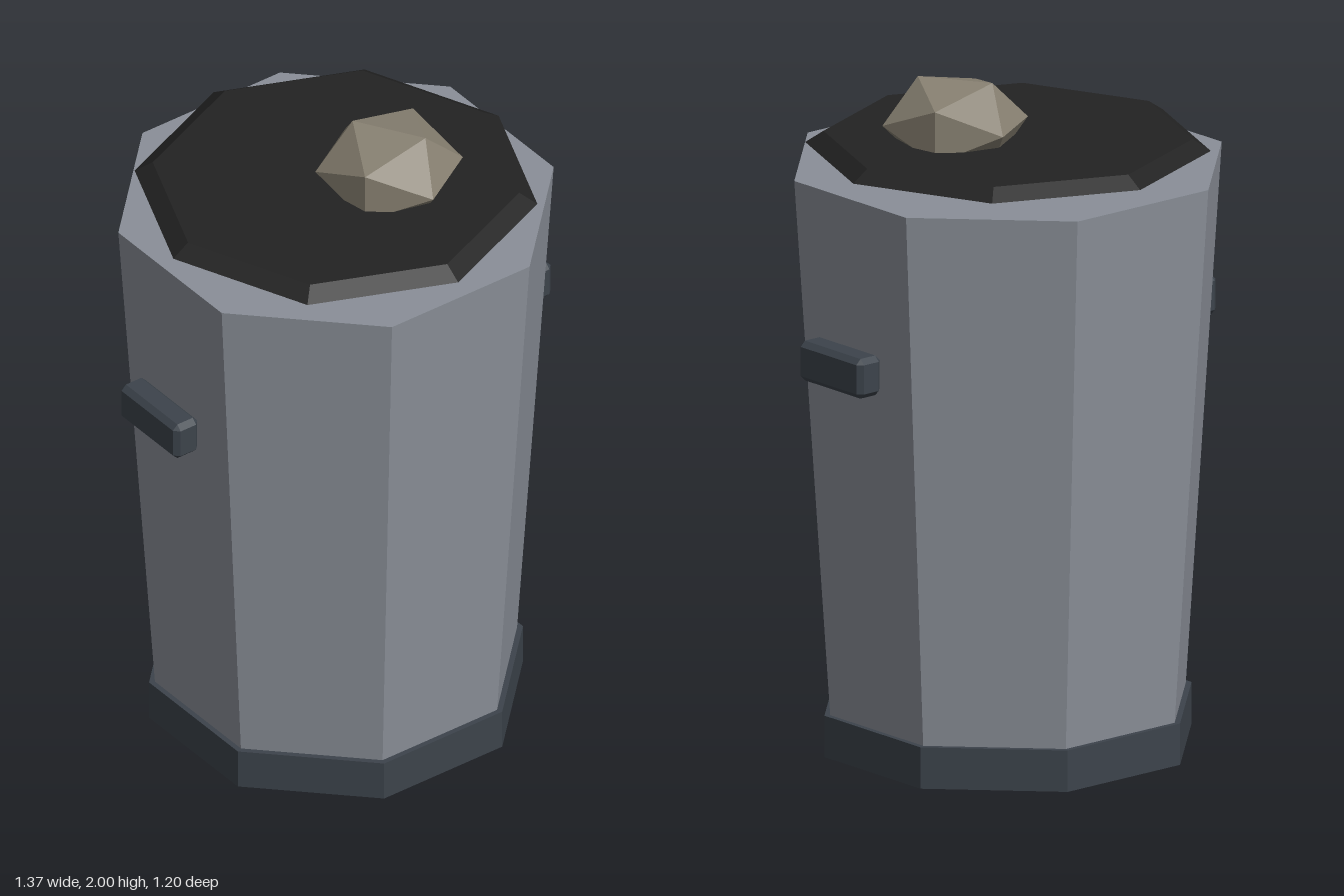
import * as THREE from 'three';
import { ConvexGeometry } from 'three/addons/geometries/ConvexGeometry.js';

function material(name, color) {
  const m = new THREE.MeshStandardMaterial({ color, flatShading: true });
  m.name = name;
  return m;
}

// Box with all edges chamfered by c
function chamferedBox(w, h, d, c) {
  const pts = [];
  for (const sx of [-1, 1]) for (const sy of [-1, 1]) for (const sz of [-1, 1]) {
    for (let axis = 0; axis < 3; axis++) {
      const inset = [0, 1, 2].map((i) => (i === axis ? 0 : c));
      pts.push(new THREE.Vector3(
        sx * (w / 2 - inset[0]), sy * (h / 2 - inset[1]), sz * (d / 2 - inset[2])));
    }
  }
  return new ConvexGeometry(pts);
}

export function createModel() {
  const model = new THREE.Group();
  model.name = 'trashCan';

  const metal = material('greyMetal', 0x8a8f98);
  const trim = material('darkTrim', 0x3c434b);
  const black = material('blackLid', 0x222222);
  const stone = material('taupeStone', 0x878071);

  const add = (name, geometry, mat, x, y, z) => {
    const mesh = new THREE.Mesh(geometry, mat);
    mesh.name = name;
    mesh.position.set(x, y, z);
    model.add(mesh);
    return mesh;
  };

  // Octagonal drum between two heights, turned about y
  const drum = (name, rTop, rBottom, y0, y1, turn, mat) => {
    const g = new THREE.CylinderGeometry(rTop, rBottom, y1 - y0, 8).rotateY(turn);
    return add(name, g, mat, 0, (y0 + y1) / 2, 0);
  };

  // Tapered body, foot ring and lid turned by half a side
  drum('body', 0.652, 0.538, 0.06, 1.75, Math.PI / 8, metal);
  drum('base', 0.56, 0.56, 0, 0.125, Math.PI / 8, trim);
  drum('lid', 0.537, 0.59, 1.795, 1.83, 0, black);

  // Side handles
  for (const side of [-1, 1]) {
    add(side > 0 ? 'leftHandle' : 'rightHandle',
      chamferedBox(0.088, 0.12, 0.28, 0.016), trim, side * 0.641, 1.248, 0);
  }

  // Squashed faceted lump resting through the lid
  const lump = add('lump', new THREE.IcosahedronGeometry(0.217, 0), stone, 0.124, 1.875, 0.091);
  lump.scale.y = 0.68;
  lump.rotation.y = -1.03;

  return model;
}
